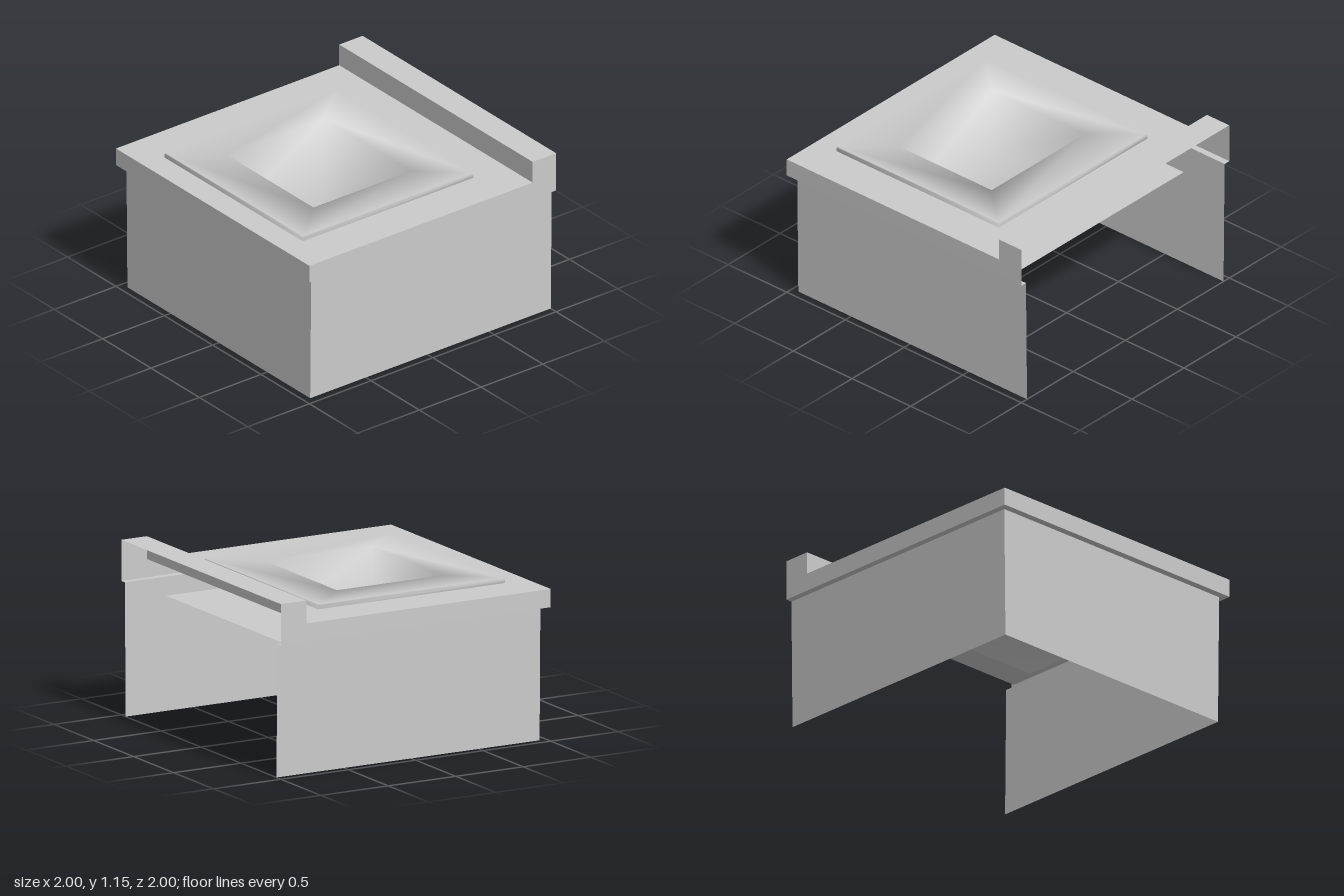
import * as THREE from 'three';

const material = new THREE.MeshStandardMaterial({ color: 0xcccccc, side: THREE.DoubleSide });

function mesh(name, geometry) {
  const m = new THREE.Mesh(geometry, material);
  m.name = name;
  return m;
}

// Flat four-cornered sheet, corners counter-clockwise from its outer side
function quad(name, ...corners) {
  const g = new THREE.BufferGeometry();
  g.setAttribute('position', new THREE.Float32BufferAttribute(corners.flat(), 3));
  g.setIndex([0, 1, 2, 0, 2, 3]);
  g.computeVertexNormals();
  return mesh(name, g);
}

const outline = (points) => points.map(([a, b]) => new THREE.Vector2(a, b));

// Horizontal sheet facing up, from [x, z] points with an optional hole
function sheet(name, y, points, hole) {
  const flip = (list) => outline(list.map(([x, z]) => [x, -z]));
  const shape = new THREE.Shape(flip(points));
  if (hole) shape.holes.push(new THREE.Path(flip(hole)));
  return mesh(name, new THREE.ShapeGeometry(shape).rotateX(-Math.PI / 2).translate(0, y, 0));
}

const rect = (x, z0, z1) => [[x, z1], [x, z0], [-x, z0], [-x, z1]];

// Smooth skin through rectangular rings given as [halfWidth, zBack, zFront, y]
function ringSkin(name, rings) {
  const positions = [];
  const index = [];
  rings.forEach(([x, z0, z1, y], r) => {
    rect(x, z0, z1).forEach(([px, pz]) => positions.push(px, y, pz));
    if (r === 0) return;
    for (let j = 0; j < 4; j++) {
      const k = (j + 1) % 4;
      const a = (r - 1) * 4;
      const b = r * 4;
      index.push(a + j, a + k, b + k, a + j, b + k, b + j);
    }
  });
  const last = (rings.length - 1) * 4;
  index.push(last, last + 1, last + 2, last, last + 2, last + 3);
  const g = new THREE.BufferGeometry();
  g.setAttribute('position', new THREE.Float32BufferAttribute(positions, 3));
  g.setIndex(index);
  g.computeVertexNormals();
  return mesh(name, g);
}

export function createModel() {
  const root = new THREE.Group();
  root.name = 'sinkCabinet';
  const low = 0.88, high = 1.15, top = 1, splashZ = -0.81;
  const wallTop = 0.955, wallFoot = 0.945, wallFront = 0.95;

  // Countertop with a cut-out, open underneath and at the back
  const counter = new THREE.Group();
  counter.name = 'countertop';
  counter.add(
    sheet('counterTop', top, rect(1, splashZ, 1), rect(0.71, -0.55, 0.825)),
    quad('counterFront', [-1, low, 1], [1, low, 1], [1, top, 1], [-1, top, 1]),
    quad('backsplashFront', [-1, top, splashZ], [1, top, splashZ], [1, high, splashZ], [-1, high, splashZ]),
    sheet('backsplashTop', high, rect(1, -1, splashZ)),
    // Overhang around the cabinet walls
    sheet('counterLip', low, [
      [-1, -1], [-1, 1], [1, 1], [1, -1],
      [wallTop, -1], [wallTop, wallFront], [-wallTop, wallFront], [-wallTop, -1],
    ])
  );
  // Step-shaped ends
  for (const side of [-1, 1]) {
    const profile = [[-1, low], [1, low], [1, top], [-splashZ * -1, top], [splashZ, high], [-1, high]];
    const shape = new THREE.Shape(outline(profile.map(([z, y]) => [-side * z, y])));
    const g = new THREE.ShapeGeometry(shape).rotateY(side * Math.PI / 2).translate(side, 0, 0);
    counter.add(mesh(side > 0 ? 'leftEnd' : 'rightEnd', g));
  }
  root.add(counter);

  // Three thin cabinet walls, tapering slightly to the floor
  const walls = new THREE.Group();
  walls.name = 'cabinet';
  walls.add(
    quad('frontWall', [-wallFoot, 0, wallFront], [wallFoot, 0, wallFront],
      [wallTop, low, wallFront], [-wallTop, low, wallFront]),
    quad('leftWall', [wallFoot, 0, wallFront], [wallFoot, 0, -1],
      [wallTop, low, -1], [wallTop, low, wallFront]),
    quad('rightWall', [-wallFoot, 0, -1], [-wallFoot, 0, wallFront],
      [-wallTop, low, wallFront], [-wallTop, low, -1])
  );
  root.add(walls);

  // Basin: raised rim, straight tub and floor
  root.add(ringSkin('basin', [
    [0.715, -0.555, 0.83, top],
    [0.715, -0.555, 0.83, 1.025],
    [0.708, -0.548, 0.823, 1.032],
    [0.447, -0.257, 0.533, 1.032],
    [0.447, -0.257, 0.533, 0.58],
  ]));

  // Support panel around the tub
  root.add(sheet('supportPanel', 0.795, rect(0.81, -0.78, 0.91), rect(0.447, -0.257, 0.533)));

  // Drain in the tub floor
  root.add(mesh('drain', new THREE.CircleGeometry(0.07, 12).rotateX(-Math.PI / 2).translate(0, 0.584, 0)));

  return root;
}
